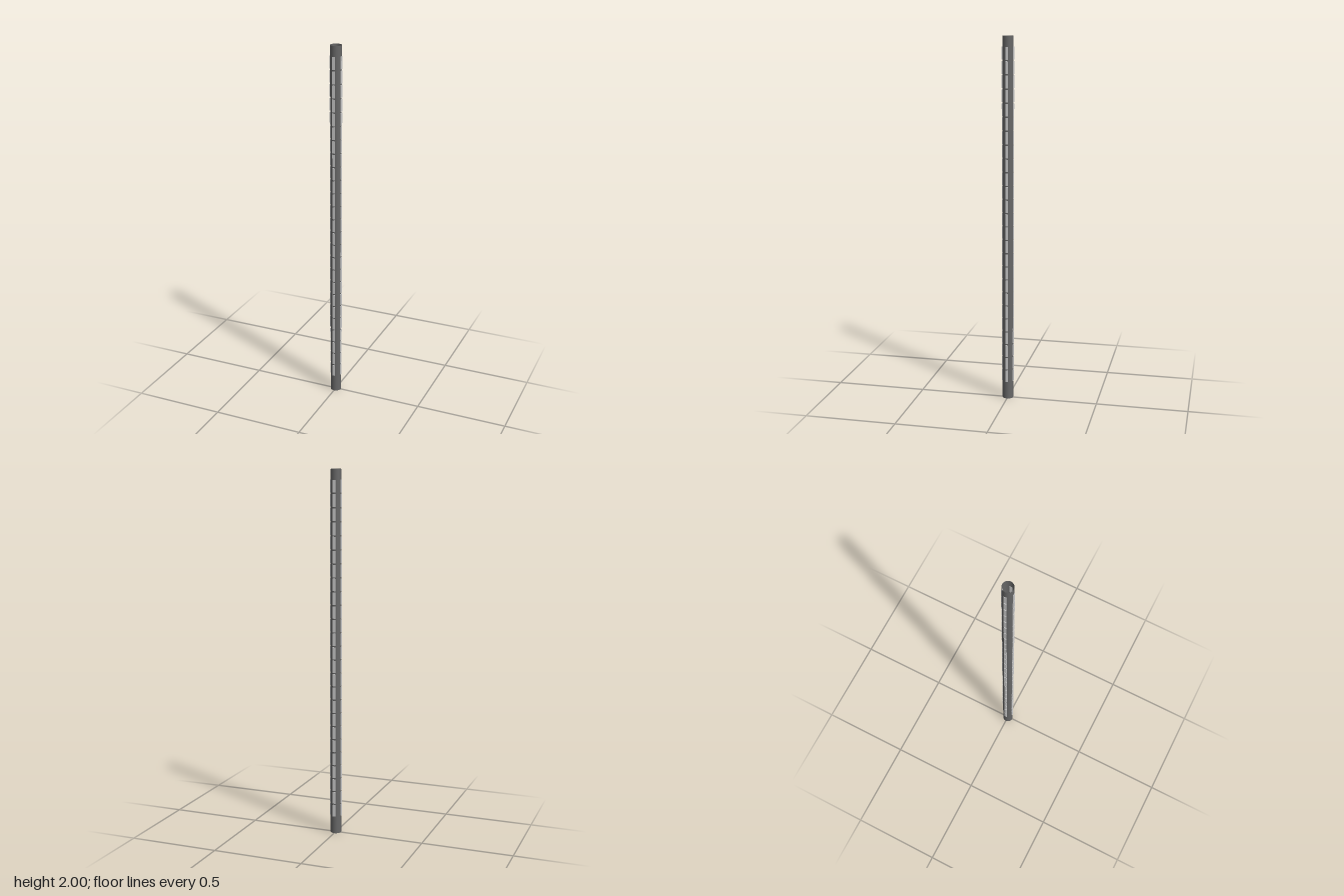
import * as THREE from 'three';

export function createModel() {
  const model = new THREE.Group();
  const radius = 0.0296, pitch = 0.0741, count = 25;

  // Open hollow tube
  const tubeMaterial = new THREE.MeshStandardMaterial({ color: 0x666666, side: THREE.DoubleSide });
  const tube = new THREE.Mesh(new THREE.CylinderGeometry(radius, radius, 2, 32, 1, true), tubeMaterial);
  tube.name = 'poleTube';
  tube.position.y = 1;
  model.add(tube);

  // Four columns of small light strips set into the tube wall
  const stripMaterial = new THREE.MeshStandardMaterial({ color: 0xcccccc });
  const stripGeometry = new THREE.BoxGeometry(0.0148, 0.0667, 0.0037);
  for (let side = 0; side < 4; side++) {
    const column = new THREE.Group();
    column.name = 'stripColumn' + (side + 1);
    column.rotation.y = side * Math.PI / 2;
    for (let i = 0; i < count; i++) {
      const strip = new THREE.Mesh(stripGeometry, stripMaterial);
      strip.name = 'lightStrip';
      strip.position.set(0, 0.132 + i * pitch, 0.0304);
      column.add(strip);
    }
    model.add(column);
  }
  return model;
}
